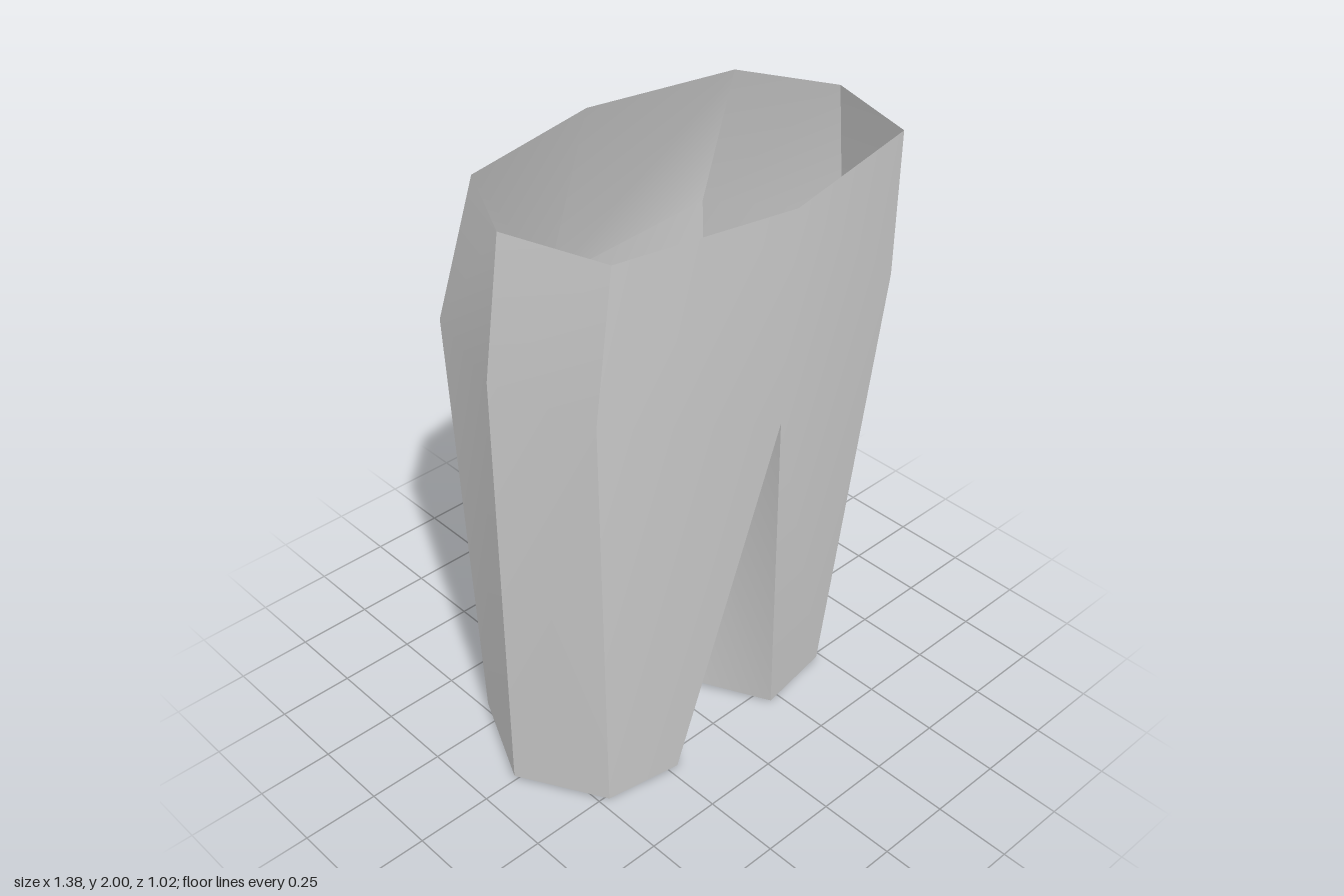
import * as THREE from 'three';
import { toCreasedNormals } from 'three/addons/utils/BufferGeometryUtils.js';

// Cross-sections of the model's left half, running from the front centre round the outside to the back.
const waist = [[0, 2, 0.51], [0.54, 2, 0.4], [0.635, 2, 0.08], [0.49, 2, -0.205], [0, 2, -0.305]];
const hip = [[0, 1.32, 0.485], [0.575, 1.52, 0.37], [0.69, 1.57, 0.07], [0.52, 1.5, -0.36], [0, 1.35, -0.51]];
const hem = [[0.215, 0, 0.305], [0.475, 0.01, 0.27], [0.635, 0.02, 0], [0.5, 0.035, -0.3], [0.19, 0.045, -0.385]];

// Lowest point of the crotch seam and the inner point of the hem
const crotch = [0, 1.07, 0.03];
const innerHem = [0.02, 0.035, -0.01];

// Joins two cross-sections with a strip of quads, on both sides of the body
function addStrip(out, upper, lower) {
  for (let i = 0; i < upper.length - 1; i++) {
    const a = upper[i], b = lower[i], c = lower[i + 1], d = upper[i + 1];
    for (const p of [a, b, c, a, c, d]) out.push(...p);
    for (const [x, y, z] of [a, c, b, a, d, c]) out.push(-x, y, z);
  }
}

export function createModel() {
  const group = new THREE.Group();
  group.name = 'shorts';

  const positions = [];
  // Seat, from waistband to hip
  addStrip(positions, waist, hip);
  // Legs, closed along the inside by the crotch seam
  addStrip(positions, [...hip, crotch, hip[0]], [...hem, innerHem, hem[0]]);

  const cloth = new THREE.BufferGeometry();
  cloth.setAttribute('position', new THREE.Float32BufferAttribute(positions, 3));

  const material = new THREE.MeshStandardMaterial({ color: 0xcccccc, side: THREE.DoubleSide });
  const mesh = new THREE.Mesh(toCreasedNormals(cloth, Math.PI / 6), material);
  mesh.name = 'shortsCloth';
  group.add(mesh);
  return group;
}
